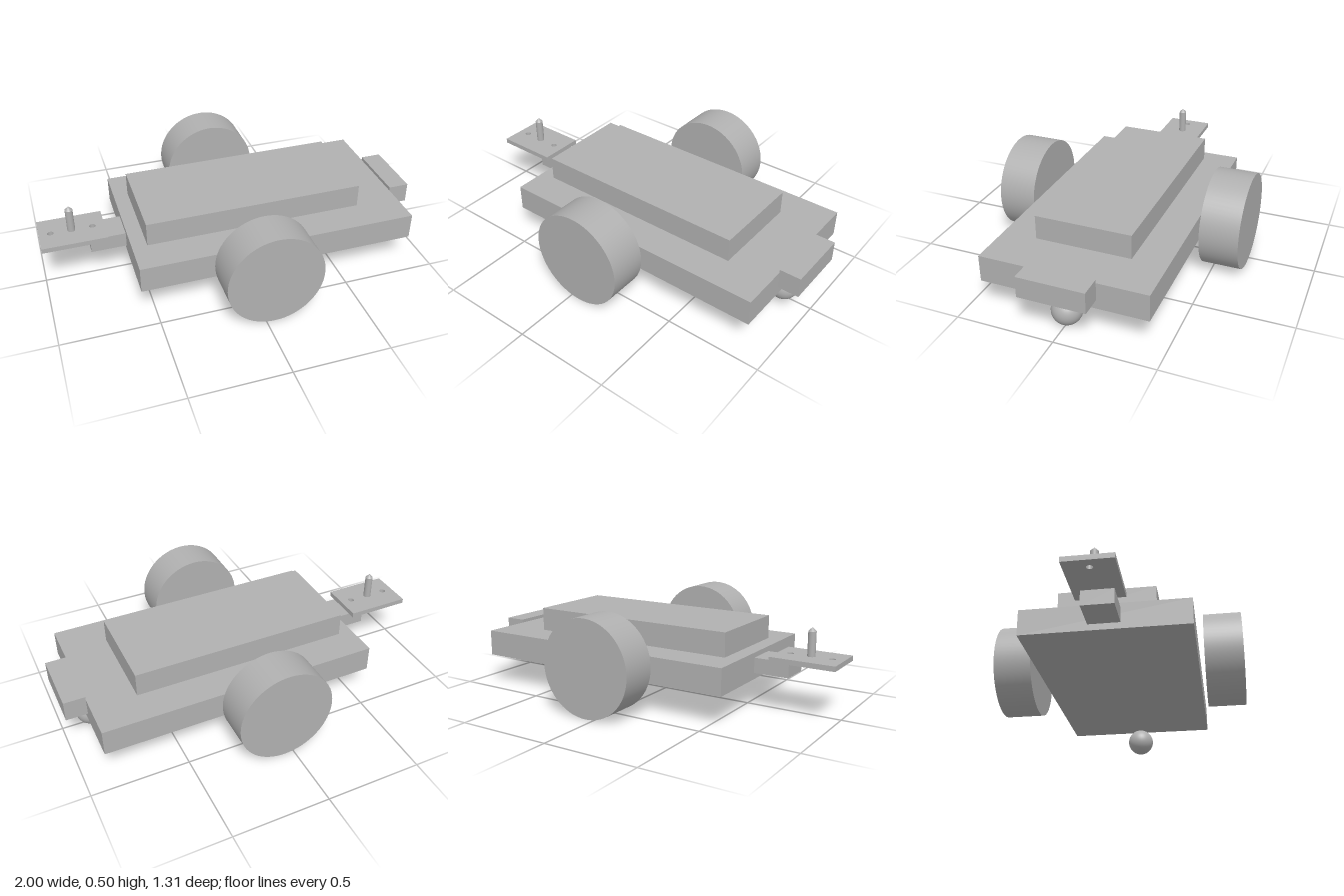
import * as THREE from 'three';

export function createModel() {
  const model = new THREE.Group();
  model.name = 'twoWheeledRover';
  const grey = new THREE.MeshStandardMaterial({ color: 0xb0b0b0 });
  grey.name = 'plain grey';

  const add = (name, geometry, x, y, z) => {
    const mesh = new THREE.Mesh(geometry, grey);
    mesh.name = name;
    mesh.position.set(x, y, z);
    model.add(mesh);
    return mesh;
  };
  // Box given by its x and y limits and half depth, centred on z = 0
  const slab = (name, x0, x1, y0, y1, halfZ) =>
    add(name, new THREE.BoxGeometry(x1 - x0, y1 - y0, halfZ * 2), (x0 + x1) / 2, (y0 + y1) / 2, 0);

  // Body
  slab('chassis', -0.57, 0.89, 0.16, 0.297, 0.423);
  slab('upperDeck', -0.492, 0.655, 0.297, 0.421, 0.246);
  slab('sensorBlock', 0.89, 1, 0.207, 0.315, 0.17);
  slab('hitchBracket', -0.753, -0.57, 0.193, 0.271, 0.08);

  // Wheels
  for (const side of [1, -1]) {
    const wheel = add(side > 0 ? 'frontWheel' : 'backWheel',
      new THREE.CylinderGeometry(0.249, 0.249, 0.199, 64), 0.045, 0.252, side * 0.555);
    wheel.rotation.x = Math.PI / 2;
  }

  // Ball caster
  add('casterBall', new THREE.SphereGeometry(0.076, 40, 24), 0.844, 0.08, 0);

  // Hitch plate with two drilled holes
  const plate = new THREE.Shape();
  plate.moveTo(-1, -0.121).lineTo(-0.664, -0.121).lineTo(-0.664, 0.121).lineTo(-1, 0.121).closePath();
  for (const x of [-0.94, -0.726]) {
    plate.holes.push(new THREE.Path().absarc(x, 0, 0.016, 0, Math.PI * 2, true));
  }
  const plateGeometry = new THREE.ExtrudeGeometry(plate, { depth: 0.026, bevelEnabled: false, curveSegments: 24 });
  plateGeometry.rotateX(-Math.PI / 2);
  add('hitchPlate', plateGeometry, 0, 0.272, 0);

  // Pointed hitch pin
  add('hitchPin', new THREE.CylinderGeometry(0.02, 0.02, 0.125, 32), -0.834, 0.3595, 0);
  add('hitchPinTip', new THREE.ConeGeometry(0.02, 0.021, 32), -0.834, 0.4325, 0);

  return model;
}
